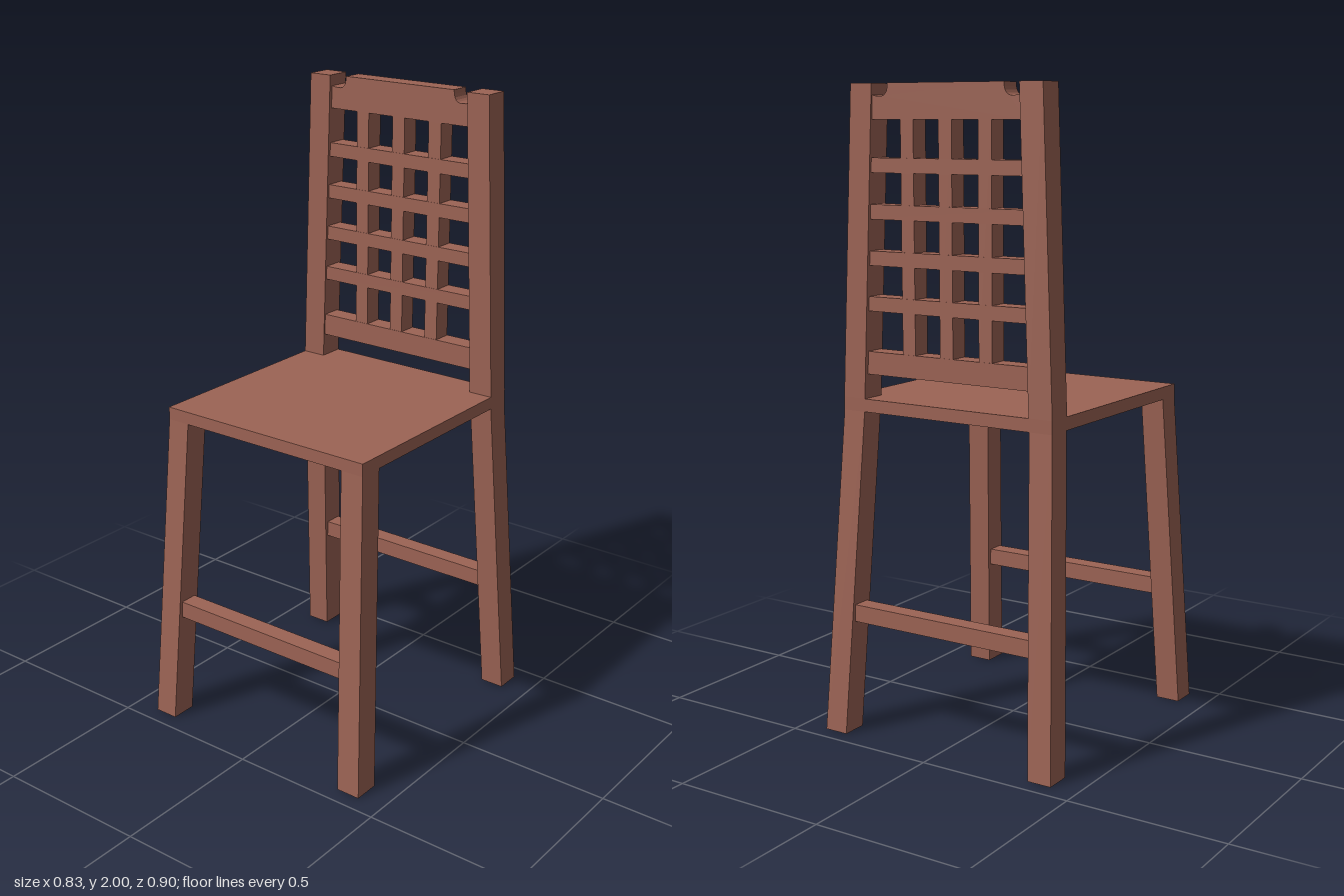
import * as THREE from 'three';

const wood = new THREE.MeshStandardMaterial({ color: 0x9c6354, flatShading: true });

export function createModel() {
  const group = new THREE.Group();

  const add = (name, geometry) => {
    const mesh = new THREE.Mesh(geometry, wood);
    mesh.name = name;
    group.add(mesh);
    return mesh;
  };

  // Box given by its limits on each axis
  const block = (name, [x0, x1], [y0, y1], [z0, z1]) => {
    const mesh = add(name, new THREE.BoxGeometry(x1 - x0, y1 - y0, z1 - z0));
    mesh.position.set((x0 + x1) / 2, (y0 + y1) / 2, (z0 + z1) / 2);
  };

  // Slanted square bar: a unit box whose ends are moved to two rectangles
  // low / high = [x0, x1, z0, z1]
  const slantedBar = (name, y0, low, y1, high) => {
    const geometry = new THREE.BoxGeometry(1, 1, 1);
    const p = geometry.attributes.position;
    for (let i = 0; i < p.count; i++) {
      const top = p.getY(i) > 0;
      const r = top ? high : low;
      p.setXYZ(i, r[p.getX(i) > 0 ? 1 : 0], top ? y1 : y0, r[p.getZ(i) > 0 ? 3 : 2]);
    }
    geometry.computeVertexNormals();
    add(name, geometry);
  };

  const mirrorX = (r, s) => (s > 0 ? r : [-r[1], -r[0], r[2], r[3]]);

  // Seat board
  block('seat', [-0.372, 0.372], [1.02, 1.06], [-0.378, 0.378]);

  for (const s of [1, -1]) {
    const side = s > 0 ? 'Left' : 'Right';
    // Splayed legs
    slantedBar('front' + side + 'Leg', 0, mirrorX([0.335, 0.414, 0.365, 0.448], s),
      1.02, mirrorX([0.295, 0.372, 0.298, 0.378], s));
    slantedBar('back' + side + 'Leg', 0, mirrorX([0.335, 0.414, -0.448, -0.365], s),
      1.02, mirrorX([0.295, 0.372, -0.378, -0.298], s));
    // Back posts leaning inwards
    slantedBar('back' + side + 'Post', 1.06, mirrorX([0.293, 0.372, -0.378, -0.296], s),
      2, mirrorX([0.256, 0.333, -0.37, -0.288], s));
  }

  // Stretchers between the legs
  block('frontStretcher', [-0.33, 0.33], [0.36, 0.414], [0.352, 0.41]);
  block('backStretcher', [-0.33, 0.33], [0.36, 0.414], [-0.41, -0.352]);

  // Lattice of the backrest
  const depth = [-0.364, -0.3];
  block('lowerBackRail', [-0.3, 0.3], [1.135, 1.205], depth);
  [1.35, 1.487, 1.625, 1.762].forEach((y) => {
    block('backSlat', [-0.29, 0.29], [y - 0.022, y + 0.022], depth);
  });
  [-0.137, 0, 0.135].forEach((x) => {
    block('backSpindle', [x - 0.023, x + 0.023], [1.19, 1.91], [-0.363, -0.301]);
  });

  // Top rail with a rounded notch beside each post
  const rail = new THREE.Shape();
  rail.moveTo(-0.275, 1.895);
  rail.lineTo(0.275, 1.895);
  rail.lineTo(0.275, 1.972);
  rail.quadraticCurveTo(0.255, 1.961, 0.225, 1.962);
  rail.quadraticCurveTo(0.202, 1.965, 0.202, 2);
  rail.lineTo(-0.202, 2);
  rail.quadraticCurveTo(-0.202, 1.965, -0.225, 1.962);
  rail.quadraticCurveTo(-0.255, 1.961, -0.275, 1.972);
  const topRail = add('topBackRail', new THREE.ExtrudeGeometry(rail, {
    depth: depth[1] - depth[0], bevelEnabled: false, curveSegments: 5,
  }));
  topRail.position.z = depth[0];

  return group;
}
